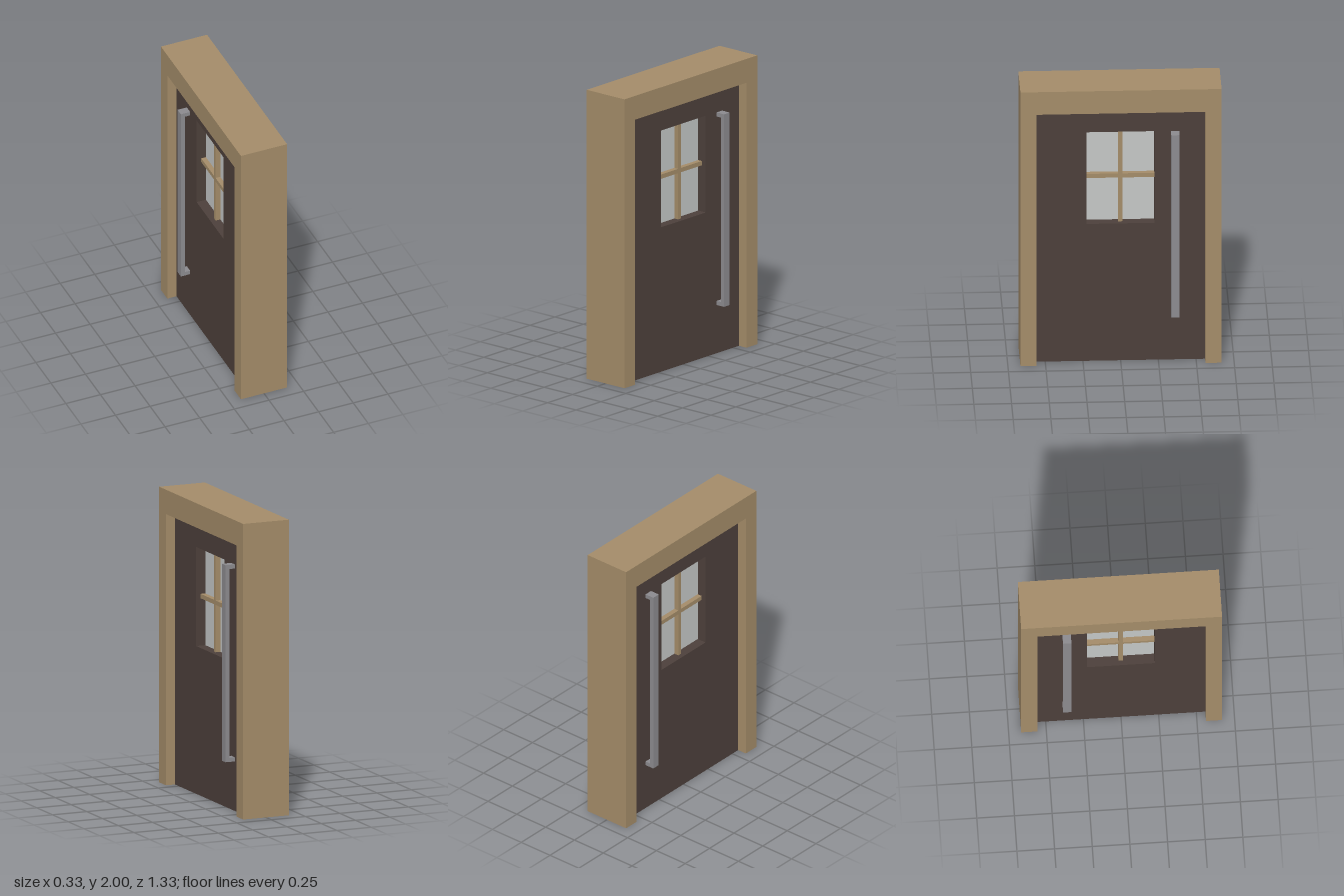
import * as THREE from 'three';

const material = (name, color) => {
  const m = new THREE.MeshStandardMaterial({ color });
  m.name = name;
  return m;
};

export function createModel() {
  const wood = material('light wood', 0xa48c69);
  const darkWood = material('dark wood', 0x4d403b);
  const glass = material('pale glass', 0xc4c7c6);
  const metal = material('grey metal', 0x8c8b8f);

  const door = new THREE.Group();
  door.name = 'framedDoor';

  const add = (name, geometry, mat, parent = door) => {
    const mesh = new THREE.Mesh(geometry, mat);
    mesh.name = name;
    parent.add(mesh);
    return mesh;
  };

  // Box given by its min and max corners
  const box = (name, min, max, mat, parent) => {
    const size = max.map((v, i) => v - min[i]);
    const mesh = add(name, new THREE.BoxGeometry(...size), mat, parent);
    mesh.position.set(...max.map((v, i) => (v + min[i]) / 2));
    return mesh;
  };

  // Flat outline in the z-y plane, thickened along x
  const slab = (shape, thickness) =>
    new THREE.ExtrudeGeometry(shape, { depth: thickness, bevelEnabled: false })
      .translate(0, 0, -thickness / 2)
      .rotateY(Math.PI / 2);
  const points = (list) => list.map(([a, b]) => new THREE.Vector2(a, b));

  // Surround: two jambs and a lintel, open at the floor
  const outer = 0.667, opening = 0.56, head = 1.835;
  const surround = new THREE.Shape(points([
    [-outer, 0], [-opening, 0], [-opening, head], [opening, head],
    [opening, 0], [outer, 0], [outer, 2], [-outer, 2],
  ]));
  add('doorFrame', slab(surround, 0.333), wood);

  // Door leaf with a window hole
  const winHalf = 0.225, winLow = 1.0, winHigh = 1.67;
  const leaf = new THREE.Shape(points([
    [-opening, 0], [opening, 0], [opening, head], [-opening, head],
  ]));
  leaf.holes.push(new THREE.Path(points([
    [-winHalf, winLow], [-winHalf, winHigh], [winHalf, winHigh], [winHalf, winLow],
  ])));
  add('doorLeaf', slab(leaf, 0.2), darkWood);

  // Window pane and crossing glazing bars
  const midY = (winLow + winHigh) / 2, bar = 0.015, barX = 0.067;
  box('windowPane', [-0.033, winLow, -winHalf], [0.033, winHigh, winHalf], glass);
  box('verticalGlazingBar', [-barX, winLow, -bar], [barX, winHigh, bar], wood);
  for (const side of [-1, 1]) {
    const z = [side * bar, side * winHalf].sort((a, b) => a - b);
    box('horizontalGlazingBar', [-barX, midY - bar, z[0]], [barX, midY + bar, z[1]], wood);
  }

  // Long pull handle on each face, held off by two brackets
  for (const side of [-1, 1]) {
    const handle = new THREE.Group();
    handle.name = side > 0 ? 'leftHandle' : 'rightHandle';
    const part = (name, x0, x1, y0, y1) => {
      const x = [side * x0, side * x1].sort((a, b) => a - b);
      box(name, [x[0], y0, -0.389], [x[1], y1, -0.333], metal, handle);
    };
    part('handleBar', 0.138, 0.167, 0.335, 1.668);
    part('lowerBracket', 0.1, 0.138, 0.335, 0.363);
    part('upperBracket', 0.1, 0.138, 1.64, 1.668);
    door.add(handle);
  }

  return door;
}
